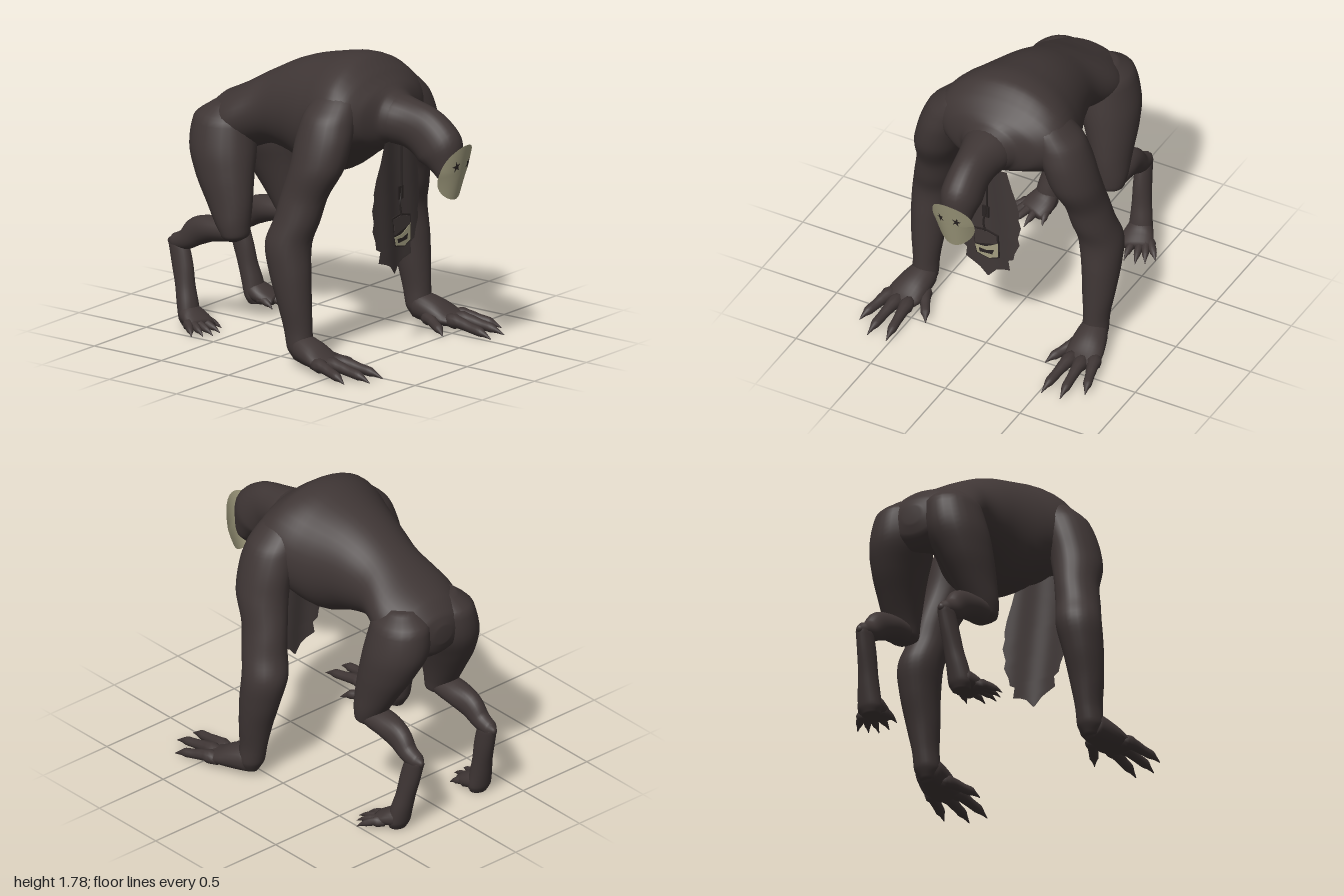
import * as THREE from 'three';

const skin = new THREE.MeshStandardMaterial({ color: 0x3f3635 });
skin.name = 'dark skin';
const cloth = new THREE.MeshStandardMaterial({ color: 0x403837, side: THREE.DoubleSide });
cloth.name = 'dark cloth';
const bone = new THREE.MeshStandardMaterial({ color: 0xa39e80, side: THREE.DoubleSide });
bone.name = 'bone';
const black = new THREE.MeshStandardMaterial({ color: 0x2a2423, side: THREE.DoubleSide });
black.name = 'black';

const DOWN = new THREE.Vector3(0, -1, 0);
const FORWARD = new THREE.Vector3(0, 0, 1);

// Smooth closed body through elliptical sections [x, y, z, half width, half depth]
function loft(rows, { axis = null, sides = 24, steps = 5 } = {}) {
  const path = new THREE.CatmullRomCurve3(rows.map(r => new THREE.Vector3(r[0], r[1], r[2])));
  const radii = new THREE.CatmullRomCurve3(rows.map(r => new THREE.Vector3(r[3], r[4], 0)));
  const n = (rows.length - 1) * steps;
  const pos = [], idx = [];
  for (let i = 0; i <= n; i++) {
    const p = path.getPoint(i / n), r = radii.getPoint(i / n);
    const t = axis || path.getTangent(i / n);
    const u = new THREE.Vector3(1, 0, 0).addScaledVector(t, -t.x).normalize();
    const v = new THREE.Vector3().crossVectors(t, u);
    for (let j = 0; j < sides; j++) {
      const a = j / sides * Math.PI * 2;
      const q = p.clone().addScaledVector(u, Math.cos(a) * r.x).addScaledVector(v, Math.sin(a) * r.y);
      pos.push(q.x, Math.max(q.y, 0), q.z);
    }
  }
  for (let i = 0; i < n; i++) for (let j = 0; j < sides; j++) {
    const k = (j + 1) % sides;
    const a = i * sides + j, b = i * sides + k, c = b + sides, d = a + sides;
    idx.push(a, b, c, a, c, d);
  }
  const first = rows[0], last = rows[rows.length - 1], s = pos.length / 3;
  pos.push(...first.slice(0, 3), ...last.slice(0, 3));
  for (let j = 0; j < sides; j++) {
    const k = (j + 1) % sides;
    idx.push(s, k, j, s + 1, n * sides + j, n * sides + k);
  }
  const g = new THREE.BufferGeometry();
  g.setAttribute('position', new THREE.Float32BufferAttribute(pos, 3));
  g.setIndex(idx);
  g.computeVertexNormals();
  return g;
}

// Gives flat geometry its depth by a rule z = f(x, y)
function drape(g, f) {
  const p = g.attributes.position;
  for (let i = 0; i < p.count; i++) p.setZ(i, f(p.getX(i), p.getY(i)));
  g.computeVertexNormals();
  return g;
}

const shapeOf = pts => new THREE.Shape(pts.map(p => new THREE.Vector2(p[0], p[1])));

export function createModel() {
  const model = new THREE.Group();
  const add = (name, geo, mat = skin, parent = model) => {
    const m = new THREE.Mesh(geo, mat);
    m.name = name;
    parent.add(m);
    return m;
  };

  // Torso: [z, top, bottom, half width] from rump to neck
  const torso = [
    [-0.86, 1.27, 1.16, 0.06], [-0.835, 1.33, 1.09, 0.17], [-0.75, 1.41, 1.03, 0.26],
    [-0.6, 1.485, 1.07, 0.3], [-0.4, 1.6, 1.14, 0.255], [-0.2, 1.7, 1.11, 0.295],
    [0, 1.76, 1.04, 0.37], [0.15, 1.79, 1.08, 0.42], [0.26, 1.78, 1.16, 0.43],
    [0.36, 1.71, 1.23, 0.41], [0.43, 1.645, 1.27, 0.31], [0.47, 1.61, 1.29, 0.19], [0.53, 1.58, 1.3, 0.14]];
  add('torso', loft(torso.map(([z, t, b, w]) => [0, (t + b) / 2, z, w, (t - b) / 2]),
    { axis: FORWARD, sides: 40 }));

  // Neck and hanging head
  add('head', loft([
    [0, 1.45, 0.42, 0.16, 0.15], [0, 1.44, 0.5, 0.155, 0.15], [0, 1.425, 0.6, 0.128, 0.147],
    [0, 1.39, 0.7, 0.116, 0.158], [0, 1.32, 0.79, 0.12, 0.16], [0, 1.23, 0.845, 0.1, 0.11],
    [0, 1.15, 0.872, 0.075, 0.065], [0, 1.1, 0.88, 0.03, 0.03]]));

  for (const s of [1, -1]) {
    const limb = new THREE.Group();
    limb.name = s > 0 ? 'leftLimbs' : 'rightLimbs';
    model.add(limb);
    const part = (name, rows, opt) =>
      add(name, loft(rows.map(([x, ...r]) => [x * s, ...r]), opt), skin, limb);

    // Arm from shoulder to wrist
    part('arm', [
      [0.25, 1.66, 0.25, 0.07, 0.08], [0.3, 1.58, 0.25, 0.115, 0.14], [0.355, 1.49, 0.25, 0.15, 0.165],
      [0.41, 1.36, 0.25, 0.148, 0.178], [0.455, 1.2, 0.235, 0.145, 0.172], [0.495, 1.02, 0.17, 0.126, 0.148],
      [0.523, 0.88, 0.14, 0.13, 0.143], [0.553, 0.74, 0.1, 0.134, 0.143], [0.57, 0.56, 0.125, 0.117, 0.13],
      [0.572, 0.38, 0.16, 0.098, 0.105], [0.57, 0.22, 0.185, 0.078, 0.088], [0.57, 0.12, 0.2, 0.078, 0.08],
      [0.57, 0.05, 0.21, 0.045, 0.05]], { axis: DOWN });

    // Hand with clawed fingers and thumb
    part('palm', [
      [0.57, 0.12, 0.16, 0.05, 0.05], [0.57, 0.12, 0.21, 0.085, 0.085], [0.585, 0.1, 0.31, 0.105, 0.077],
      [0.6, 0.072, 0.41, 0.112, 0.05], [0.6, 0.06, 0.48, 0.085, 0.032]]);
    const fingers = [[0.67, 0.38, 0.755, 0.67], [0.615, 0.42, 0.645, 0.775],
      [0.55, 0.42, 0.52, 0.775], [0.53, 0.28, 0.4, 0.51]];
    for (const [x, z, tx, tz] of fingers) {
      const at = (k, y, w, h) => [x + (tx - x) * k, y, z + (tz - z) * k, w, h];
      part('finger', [at(0, 0.07, 0.036, 0.036), at(0.3, 0.07, 0.036, 0.036), at(0.55, 0.055, 0.029, 0.03),
        at(0.75, 0.045, 0.028, 0.028), at(0.86, 0.035, 0.015, 0.016), at(1, 0.016, 0.002, 0.002)], { sides: 10, steps: 3 });
    }

    // Thigh and buttock
    part('thigh', [
      [0.15, 1.38, -0.66, 0.08, 0.09], [0.17, 1.29, -0.675, 0.16, 0.19], [0.195, 1.12, -0.665, 0.182, 0.21],
      [0.235, 0.95, -0.62, 0.152, 0.185], [0.26, 0.8, -0.567, 0.122, 0.145], [0.275, 0.68, -0.53, 0.104, 0.106],
      [0.275, 0.61, -0.515, 0.09, 0.082], [0.275, 0.575, -0.525, 0.04, 0.035]], { axis: DOWN });

    // Calf reaching back to the raised heel
    part('calf', [
      [0.275, 0.65, -0.5, 0.04, 0.04], [0.275, 0.635, -0.56, 0.085, 0.07], [0.275, 0.622, -0.68, 0.083, 0.078],
      [0.28, 0.59, -0.785, 0.066, 0.085], [0.285, 0.525, -0.87, 0.055, 0.062], [0.285, 0.5, -0.95, 0.045, 0.048],
      [0.285, 0.495, -0.998, 0.012, 0.015]]);

    // Long lower shank down to the foot
    part('shank', [
      [0.285, 0.54, -0.945, 0.02, 0.025], [0.285, 0.49, -0.925, 0.046, 0.068], [0.29, 0.38, -0.895, 0.052, 0.07],
      [0.3, 0.25, -0.865, 0.058, 0.062], [0.31, 0.15, -0.84, 0.068, 0.063], [0.315, 0.06, -0.82, 0.075, 0.06],
      [0.315, 0.012, -0.81, 0.055, 0.045]], { axis: DOWN });

    // Foot with clawed toes
    part('foot', [
      [0.31, 0.08, -0.87, 0.03, 0.03], [0.315, 0.085, -0.83, 0.075, 0.065], [0.33, 0.065, -0.76, 0.095, 0.05],
      [0.355, 0.045, -0.69, 0.09, 0.028]]);
    const toes = [[0.28, 0.245, -0.64], [0.315, 0.335, -0.58], [0.35, 0.41, -0.575],
      [0.375, 0.46, -0.61], [0.39, 0.505, -0.66]];
    for (const [x, tx, tz] of toes) {
      const at = (k, y, w) => [x + (tx - x) * k, y, -0.78 + (tz + 0.78) * k, w, w];
      part('toe', [at(0, 0.05, 0.026), at(0.4, 0.05, 0.026), at(0.7, 0.036, 0.02),
        at(0.82, 0.03, 0.012), at(1, 0.012, 0.002)], { sides: 8, steps: 3 });
    }
  }

  // Curved oval face mask, cheeks wrapping back lower down, with ragged eye marks
  const maskZ = lift => (x, y) =>
    0.91 + lift + (y - 1.02) * 0.26 - (3 + 12 * Math.max(0, 1.2 - y)) * x * x;
  const oval = new THREE.RingGeometry(0.0001, 1, 48, 8);
  oval.scale(0.137, 0.174, 1).translate(0, 1.194, 0);
  add('mask', drape(oval, maskZ(0)), bone);
  for (const s of [1, -1]) {
    const star = [];
    for (let i = 0; i < 10; i++) {
      const a = i / 10 * Math.PI * 2, r = i % 2 ? 0.014 : 0.038;
      star.push([s * (0.053 + Math.cos(a) * r * 0.75), 1.238 + Math.sin(a) * r]);
    }
    if (s < 0) star.reverse();
    add('eyeMark', drape(new THREE.ShapeGeometry(shapeOf(star)), maskZ(0.005)), black);
  }

  // Ragged, gently rippled cloth hanging from the chest: [half width, y] per row
  const edge = [[0.14, 1.32], [0.17, 1.2], [0.2, 1.1], [0.215, 1.02], [0.21, 0.98], [0.225, 0.92], [0.205, 0.84],
    [0.215, 0.79], [0.185, 0.72], [0.175, 0.67], [0.14, 0.65], [0.15, 0.58], [0.09, 0.56], [0.05, 0.54], [0.004, 0.487]];
  const sheet = new THREE.PlaneGeometry(2, 1, 24, edge.length - 1);
  const sp = sheet.attributes.position;
  for (let i = 0; i < sp.count; i++) {
    const [w, y] = edge[Math.floor(i / 25)];
    sp.setXY(i, sp.getX(i) * w - 0.005, y);
  }
  add('hangingCloth', drape(sheet, (x, y) => 0.463 + (y - 0.5) * 0.035 + 0.007 * Math.cos(x * 26 + y * 3)), cloth);

  // Cord, knot and pendant plate with pale lower band
  const cord = new THREE.CatmullRomCurve3([[0.01, 1.28, 0.505], [0.005, 1.0, 0.505], [-0.012, 0.92, 0.51],
    [0, 0.85, 0.512]].map(p => new THREE.Vector3(...p)));
  add('cord', new THREE.TubeGeometry(cord, 20, 0.006, 6), black);
  const knot = new THREE.BoxGeometry(0.045, 0.08, 0.01);
  knot.translate(0, 0.99, 0.503);
  add('cordKnot', knot, black);
  const plate = (name, pts, z, depth, mat) => {
    const g = new THREE.ExtrudeGeometry(shapeOf(pts), { depth, bevelEnabled: false });
    add(name, g.translate(0, 0, z), mat);
  };
  plate('pendantRim', [[-0.085, 0.85], [-0.06, 0.67], [0.03, 0.652], [0.095, 0.68], [0.088, 0.84], [0, 0.862]],
    0.502, 0.008, black);
  plate('pendantPlate', [[-0.076, 0.84], [-0.064, 0.74], [0.08, 0.78], [0.078, 0.832], [0, 0.852]],
    0.51, 0.003, cloth);
  plate('pendantBand', [[-0.066, 0.73], [-0.052, 0.676], [0.03, 0.66], [0.086, 0.686], [0.086, 0.785],
    [0.04, 0.755], [0, 0.735]], 0.51, 0.003, bone);
  plate('pendantSlot', [[-0.04, 0.715], [-0.035, 0.688], [0.05, 0.695], [0.06, 0.73], [0.01, 0.712]],
    0.513, 0.002, black);

  return model;
}
